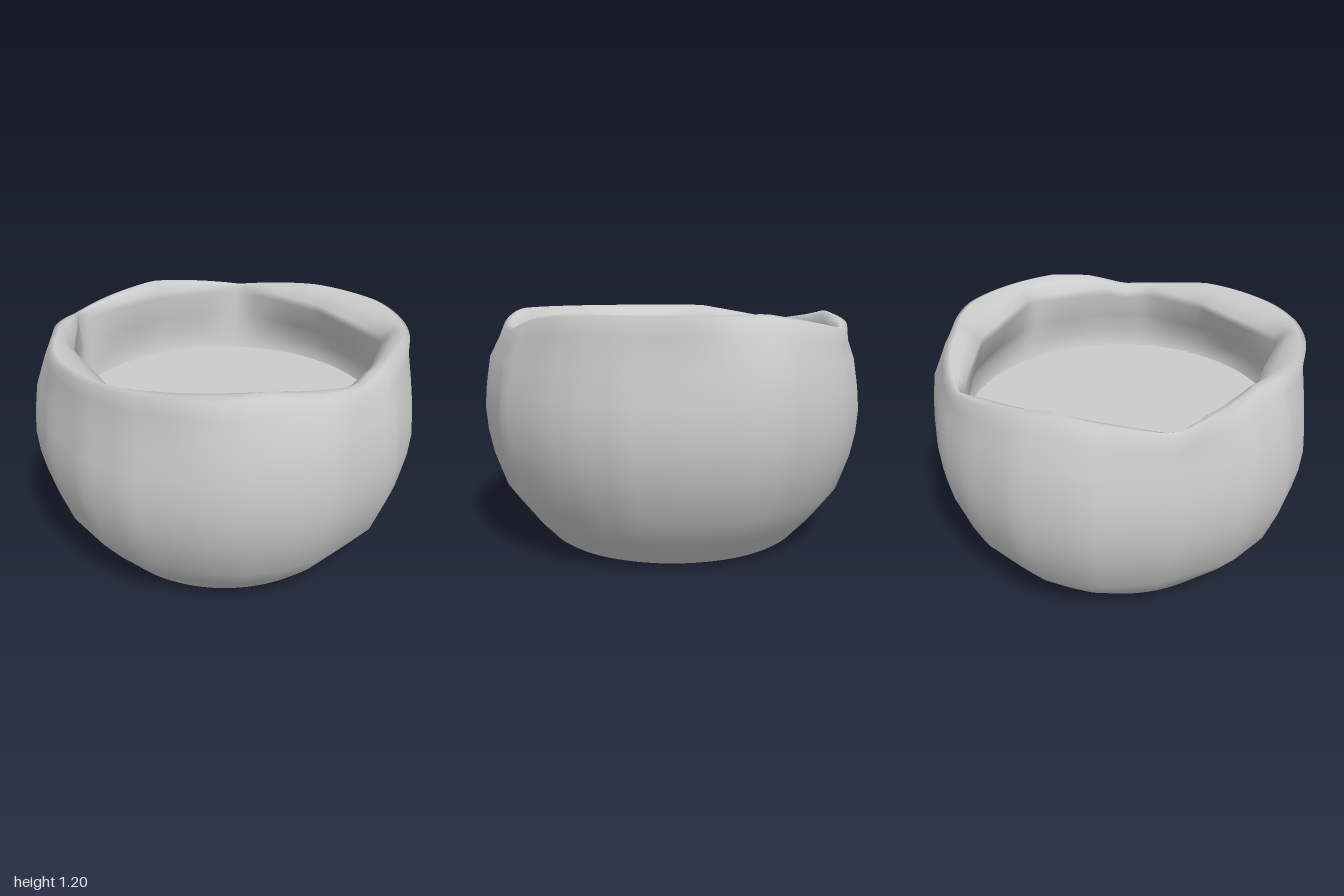
import * as THREE from 'three';

const SEGMENTS = 96;

// Inner lip outline (x, z), ordered by increasing angle
const LIP = [
  [0.83, -0.07], [0.72, 0.34], [0.57, 0.57], [0.23, 0.70], [-0.41, 0.73],
  [-0.74, 0.23], [-0.85, -0.31], [-0.43, -0.70], [0.02, -0.90], [0.13, -0.81], [0.49, -0.55],
];

// Slightly uneven belly outline (x, z)
const BELLY = [
  [1, 0.02], [0.98, 0.19], [0.94, 0.32], [0.87, 0.5], [0.58, 0.82], [0.38, 0.925], [0.17, 0.98],
  [0, 0.98], [-0.14, 0.96], [-0.37, 0.91], [-0.6, 0.78], [-0.82, 0.55], [-0.95, 0.32], [-1, 0.05],
  [-0.92, -0.39], [-0.74, -0.7], [-0.6, -0.81], [-0.44, -0.91], [-0.11, -0.99], [0.11, -0.99],
  [0.27, -0.95], [0.59, -0.83], [0.73, -0.7], [0.88, -0.43], [0.98, -0.21],
];

// Uneven top of the rim: angle in degrees, radius, height
const CREST = [
  [-89, 0.92, 1.12], [-55, 0.85, 1.2], [-29, 0.92, 1.2], [8, 0.92, 1.2], [22, 0.89, 1.18],
  [36, 0.89, 1.12], [55, 0.87, 1.15], [72, 0.85, 1.2], [102, 0.91, 1.2], [116, 0.92, 1.2],
  [145, 0.91, 1.2], [168, 0.85, 1.2], [200, 0.92, 1.12], [235, 0.87, 1.19], [271, 0.92, 1.12],
];

// Distance from the centre to a closed outline in direction a
function outlineRadius(outline, a) {
  const dx = Math.cos(a), dz = Math.sin(a);
  for (let i = 0; i < outline.length; i++) {
    const [x0, z0] = outline[i], [x1, z1] = outline[(i + 1) % outline.length];
    const c0 = x0 * dz - z0 * dx, c1 = x1 * dz - z1 * dx;
    if (c0 >= 0 && c1 <= 0 && c0 !== c1) {
      const t = c0 / (c0 - c1);
      const r = (x0 + (x1 - x0) * t) * dx + (z0 + (z1 - z0) * t) * dz;
      if (r > 0) return r;
    }
  }
  return 0.8;
}

// Radius and height of the rim top in direction a
function crestAt(a) {
  let deg = THREE.MathUtils.radToDeg(a);
  if (deg > 271) deg -= 360;
  const i = CREST.findIndex((c) => c[0] >= deg);
  const [a0, r0, y0] = CREST[i - 1], [a1, r1, y1] = CREST[i];
  const t = (deg - a0) / (a1 - a0);
  return [THREE.MathUtils.lerp(r0, r1, t), THREE.MathUtils.lerp(y0, y1, t)];
}

// Cross-section [radius, height] from the foot, over the rim, down the inside
function section(a) {
  const lip = outlineRadius(LIP, a);
  const belly = outlineRadius(BELLY, a);
  const [crest, top] = crestAt(a);
  const lipTop = Math.min(1.12, top - 0.025);
  const outer = [
    [0.79, 0.14], [0.90, 0.28], [0.965, 0.46], [0.99, 0.58], [1.0, 0.70], [0.99, 0.82], [0.968, 0.96],
  ].map(([r, y]) => [r * belly, y]);
  return [
    [0.64, 0], [0.67, 0.02],
    ...outer,
    [crest * 0.45 + 0.525 * belly, top - 0.09],
    [crest + 0.015, top - 0.012], [crest - 0.015, top],
    [lip * 0.6 + crest * 0.4, (top + lipTop) / 2 + 0.012],
    [lip, lipTop], [lip, lipTop - 0.04],
    [lip * 0.6 + 0.335, 0.94], [0.855, 0.82], [0.83, 0.73],
  ];
}

function bowlGeometry() {
  const positions = [], index = [];
  const rows = section(0).length;
  for (let i = 0; i < SEGMENTS; i++) {
    const a = (i / SEGMENTS) * Math.PI * 2;
    for (const [r, y] of section(a)) positions.push(r * Math.cos(a), y, r * Math.sin(a));
    const next = ((i + 1) % SEGMENTS) * rows;
    for (let j = 0; j < rows - 1; j++) {
      const p = i * rows + j, q = next + j;
      index.push(p, p + 1, q, q, p + 1, q + 1);
    }
  }
  const geometry = new THREE.BufferGeometry();
  geometry.setAttribute('position', new THREE.Float32BufferAttribute(positions, 3));
  geometry.setIndex(index);
  geometry.computeVertexNormals();
  return geometry;
}

export function createModel() {
  const group = new THREE.Group();
  group.name = 'bowl';
  const material = new THREE.MeshStandardMaterial({ color: 0xcccccc, side: THREE.DoubleSide });

  function add(name, geometry, y = 0) {
    const mesh = new THREE.Mesh(geometry, material);
    mesh.name = name;
    mesh.position.y = y;
    group.add(mesh);
  }

  // Rounded wall with folded rim
  add('wall', bowlGeometry());
  // Flat underside
  add('base', new THREE.CircleGeometry(0.64, SEGMENTS).rotateX(Math.PI / 2));
  // Flat surface of the contents
  add('fillSurface', new THREE.CircleGeometry(0.84, SEGMENTS).rotateX(-Math.PI / 2), 0.73);
  return group;
}
